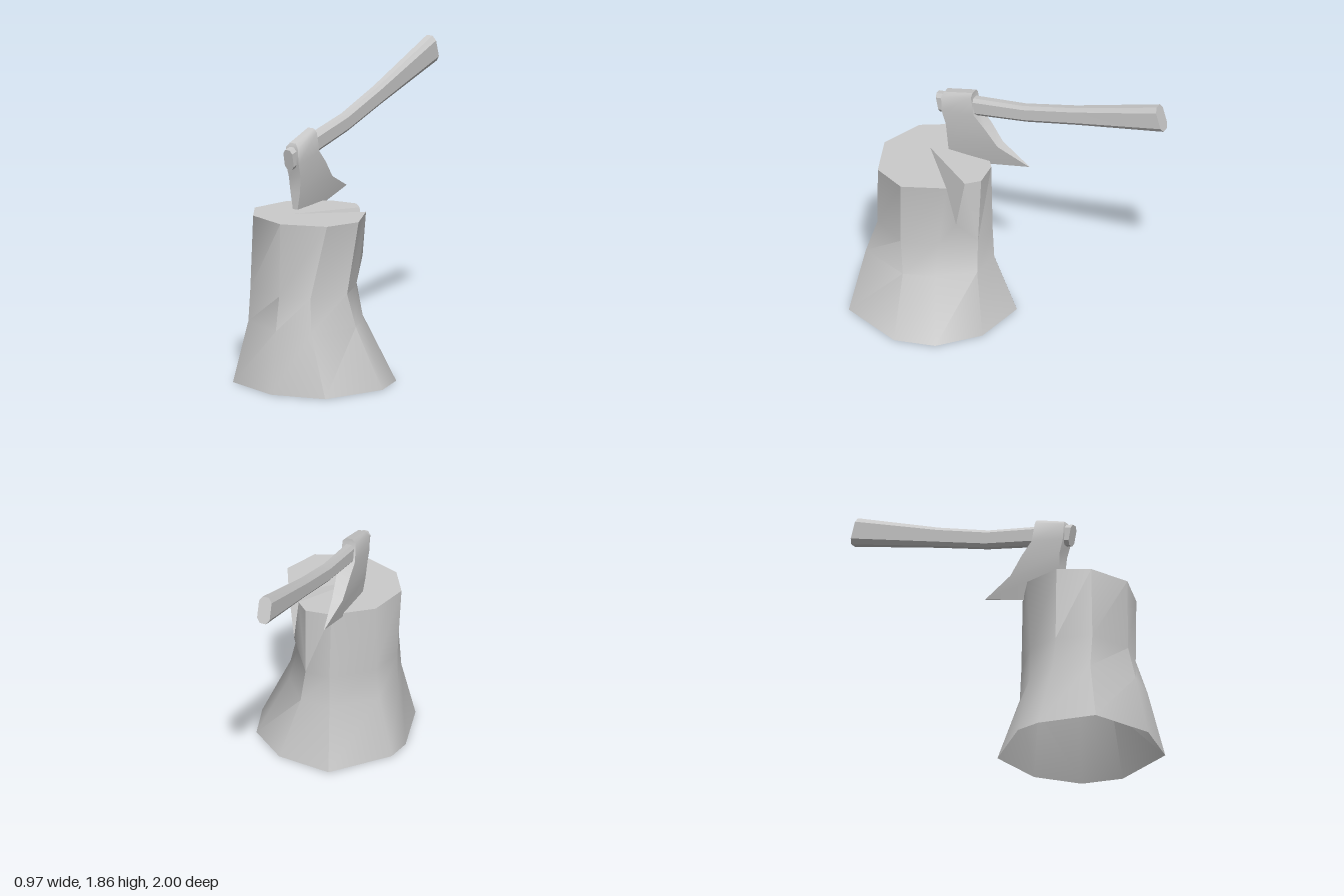
import * as THREE from 'three';
import { toCreasedNormals } from 'three/addons/utils/BufferGeometryUtils.js';

const V = (x, y, z) => new THREE.Vector3(x, y, z);

// Mesh from a flat list of triangle corners, sharp above the crease angle
function makeMesh(name, corners, crease) {
  const geometry = toCreasedNormals(new THREE.BufferGeometry().setFromPoints(corners), crease);
  const material = new THREE.MeshStandardMaterial({ color: 0xcccccc, side: THREE.DoubleSide });
  const mesh = new THREE.Mesh(geometry, material);
  mesh.name = name;
  return mesh;
}

// Skin between successive rings; skip(row, column) leaves a panel open
function loft(rings, skip = () => false) {
  const out = [];
  for (let r = 0; r < rings.length - 1; r++) {
    const lo = rings[r], hi = rings[r + 1];
    lo.forEach((p, i) => {
      if (skip(r, i)) return;
      const j = (i + 1) % lo.length;
      out.push(lo[j], p, hi[i], lo[j], hi[i], hi[j]);
    });
  }
  return out;
}

function caps(rings) {
  const a = rings[0], b = rings[rings.length - 1], out = [];
  for (let i = 1; i < a.length - 1; i++) out.push(a[0], a[i], a[i + 1], b[0], b[i + 1], b[i]);
  return out;
}

function createStump() {
  // Nine-sided rings [x, z], from the flared foot to the cut top
  const levels = [
    [0, [[0.02, -0.02], [0.33, 0.15], [0.48, 0.42], [0.455, 0.68], [0.17, 1.0],
      [-0.18, 0.96], [-0.485, 0.69], [-0.44, 0.32], [-0.36, 0.18]]],
    [0.38, [[0.02, 0.12], [0.2, 0.2], [0.28, 0.445], [0.28, 0.65], [0.06, 0.91],
      [-0.17, 0.88], [-0.4, 0.64], [-0.39, 0.4], [-0.28, 0.24]]],
    [0.59, [[0.02, 0.13], [0.17, 0.2], [0.23, 0.435], [0.23, 0.67], [0.04, 0.84],
      [-0.16, 0.83], [-0.385, 0.65], [-0.385, 0.42], [-0.26, 0.24]]],
    [1.045, [[0.01, 0.14], [0.17, 0.18], [0.28, 0.38], [0.3, 0.66], [0.14, 0.825],
      [-0.155, 0.825], [-0.37, 0.64], [-0.41, 0.43], [-0.26, 0.22]]],
  ];
  const rings = levels.map(([y, pts]) => pts.map(([x, z]) => V(x, y, z)));
  const [, , waist, top] = rings;

  // Wall, with one upper panel rebuilt around the split
  const rim = V(0.215, 1.045, 0.275), root = V(0.245, 0.755, 0.325), apex = V(-0.14, 1.045, 0.54);
  const wall = loft(rings, (r, i) => r === 2 && i === 1);
  wall.push(waist[2], waist[1], root, waist[2], root, top[2]);
  wall.push(root, waist[1], rim, rim, waist[1], top[1]);

  // Cut top fans out from the inner end of the split
  const edge = [...top.slice(2), top[0], top[1], rim];
  const cut = [];
  for (let i = 0; i < edge.length - 1; i++) cut.push(apex, edge[i + 1], edge[i]);

  const stump = new THREE.Group();
  stump.name = 'stump';
  stump.add(
    makeMesh('stumpWall', wall, 0.7),
    makeMesh('stumpTop', cut, 0.3),
    makeMesh('stumpSplit', [apex, root, rim, apex, top[2], root], 0.3),
  );
  return stump;
}

function createAxe() {
  // Local x runs along the handle; convert from depth z
  const along = (z) => (0.48 - z) / 0.934;

  // Handle: chamfered sections [top z, top y, bottom z, bottom y, half width]
  const octagon = [[0, 0.5], [0, -0.5], [0.18, -1], [0.82, -1], [1, -0.5], [1, 0.5], [0.82, 1], [0.18, 1]];
  const handle = [
    [0.5, 1.435, 0.475, 1.305, 0.033],
    [0.25, 1.485, 0.215, 1.37, 0.035],
    [-0.07, 1.545, -0.09, 1.435, 0.033],
    [-0.4, 1.65, -0.43, 1.535, 0.034],
    [-0.945, 1.855, -0.99, 1.69, 0.042],
  ].map(([zt, yt, zb, yb, w]) => octagon.map(([f, k]) =>
    V(along(zt + (zb - zt) * f), yt + (yb - yt) * f, k * w)));

  // Head: levels [front z, front y, back z, back y, half width], eye to cutting edge
  const head = [
    [0.445, 1.468, 0.26, 1.525, 0.022],
    [0.455, 1.44, 0.26, 1.5, 0.044],
    [0.45, 1.34, 0.24, 1.38, 0.048],
    [0.425, 1.25, 0.17, 1.3, 0.044],
    [0.42, 1.15, 0.09, 1.19, 0.035],
    [0.42, 0.95, -0.1, 1.09, 0.002],
  ].map(([zf, yf, zb, yb, w]) => [
    V(along(zb), yb, -w), V(along(zf), yf, -w), V(along(zf), yf, w), V(along(zb), yb, w),
  ]);

  const axe = new THREE.Group();
  axe.name = 'axe';
  axe.add(
    makeMesh('axeHandle', [...loft(handle), ...caps(handle)], 0.4),
    makeMesh('axeHead', [...loft(head), ...caps(head)], 0.8),
  );
  axe.position.set(-0.18, 0, 0.48);
  axe.rotation.y = 1.205;
  return axe;
}

export function createModel() {
  const model = new THREE.Group();
  model.name = 'axeInStump';
  model.add(createStump(), createAxe());
  return model;
}
